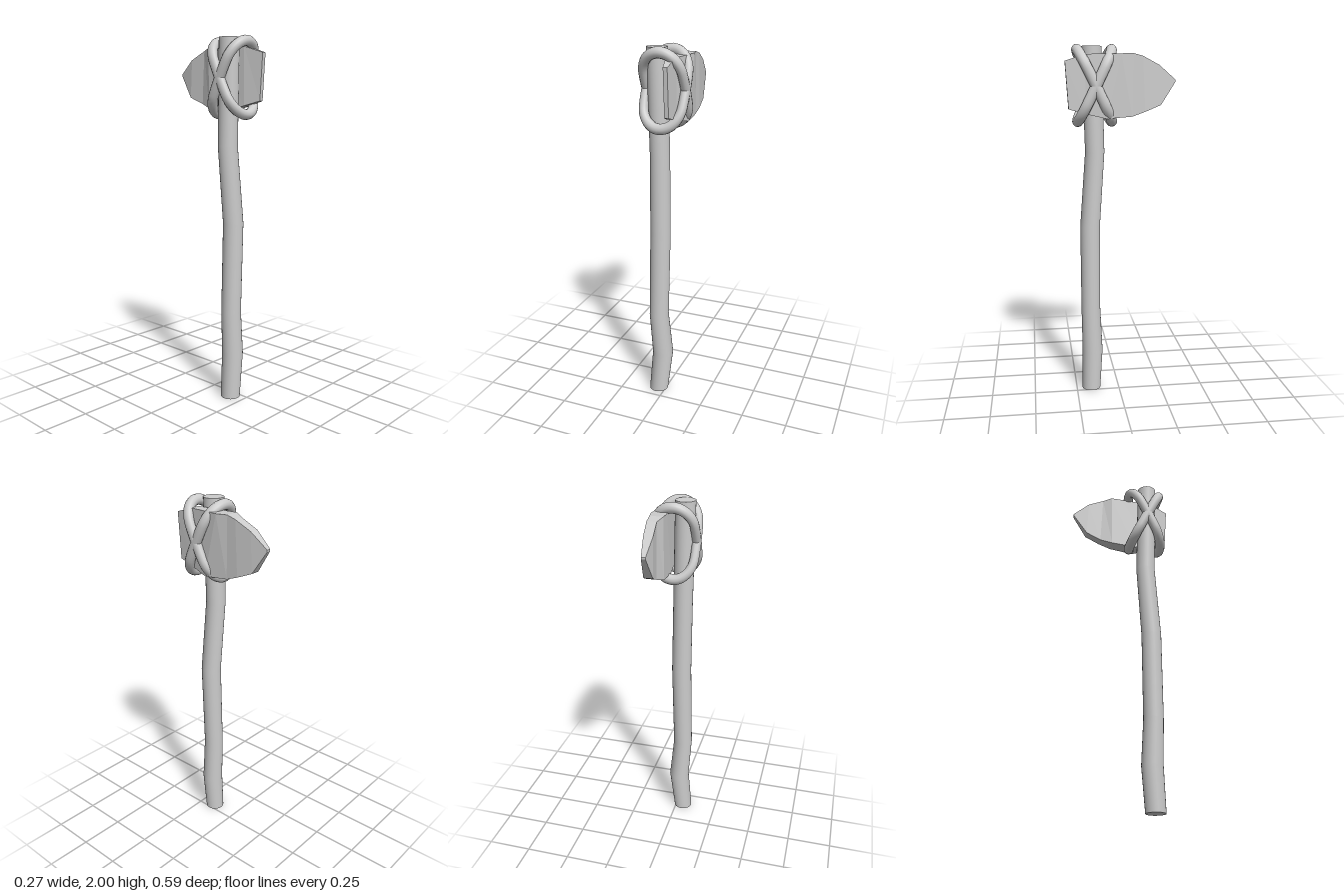
import * as THREE from 'three';

const stone = new THREE.MeshStandardMaterial({ color: 0xcccccc });
stone.name = 'plain grey';

// Crooked stick: a cylinder whose rings are moved to the given centres
function makeHandle() {
  const rings = [ // y, x, z, radius
    [0, -0.043, 0.163, 0.054], [0.25, -0.018, 0.156, 0.059], [0.5, -0.038, 0.162, 0.055],
    [1.0, -0.025, 0.163, 0.056], [1.42, -0.037, 0.132, 0.054], [1.99, -0.043, 0.145, 0.055],
  ];
  const n = rings.length - 1;
  const geo = new THREE.CylinderGeometry(1, 1, n, 24, n);
  const p = geo.attributes.position;
  for (let i = 0; i < p.count; i++) {
    const [y, x, z, r] = rings[Math.round(p.getY(i) + n / 2)];
    p.setXYZ(i, x + p.getX(i) * r, y, z + p.getZ(i) * r);
  }
  const mesh = new THREE.Mesh(geo, stone);
  mesh.name = 'handle';
  return mesh;
}

// Chipped blade: four-cornered cross-sections joined from butt to cutting tip
function makeBlade() {
  const sections = [ // z top, y top, z bottom, y bottom, x inner, x outer
    [0.296, 1.91, 0.28, 1.66, 0.05, 0.073],
    [0.19, 1.945, 0.19, 1.635, 0.025, 0.08],
    [0.0, 1.948, 0.08, 1.61, 0.018, 0.103],
    [-0.065, 1.95, -0.06, 1.62, 0.018, 0.09],
    [-0.116, 1.936, -0.13, 1.645, 0.038, 0.09],
    [-0.206, 1.89, -0.217, 1.68, 0.03, 0.08],
    [-0.298, 1.813, -0.298, 1.803, 0.042, 0.065],
  ].map(([zt, yt, zb, yb, a, b]) => [[a, yt, zt], [b, yt, zt], [b, yb, zb], [a, yb, zb]]);
  const v = [];
  const quad = (a, b, c, d) => v.push(...a, ...b, ...c, ...a, ...c, ...d);
  for (let s = 0; s < sections.length - 1; s++) {
    const A = sections[s], B = sections[s + 1];
    for (let k = 0; k < 4; k++) {
      const m = (k + 1) % 4;
      quad(A[k], A[m], B[m], B[k]);
    }
  }
  const first = sections[0], last = sections[sections.length - 1];
  quad(first[3], first[2], first[1], first[0]);
  quad(last[0], last[1], last[2], last[3]);
  const geo = new THREE.BufferGeometry();
  geo.setAttribute('position', new THREE.Float32BufferAttribute(v, 3));
  geo.computeVertexNormals();
  const mesh = new THREE.Mesh(geo, stone);
  mesh.name = 'blade';
  return mesh;
}

// Slanted oval loop of cord; lean is +1 or -1
function makeBinding(lean) {
  const pts = [], arc = 10;
  for (const side of [1, -1]) {
    for (let i = 0; i <= arc; i++) {
      const t = (i / arc) * Math.PI + (side > 0 ? 0 : Math.PI);
      const y = side * 0.075 + 0.115 * Math.sin(t);
      pts.push(new THREE.Vector3(0.125 * Math.cos(t), y, lean * y * 0.49));
    }
  }
  const path = new THREE.CatmullRomCurve3(pts, true, 'centripetal');
  const mesh = new THREE.Mesh(new THREE.TubeGeometry(path, 64, 0.029, 12, true), stone);
  mesh.scale.x = 0.85;
  mesh.position.set(0, 1.78, 0.135);
  mesh.name = lean > 0 ? 'bindingForward' : 'bindingBackward';
  return mesh;
}

export function createModel() {
  const axe = new THREE.Group();
  axe.name = 'stoneAxe';
  axe.add(makeHandle(), makeBlade(), makeBinding(1), makeBinding(-1));
  return axe;
}
